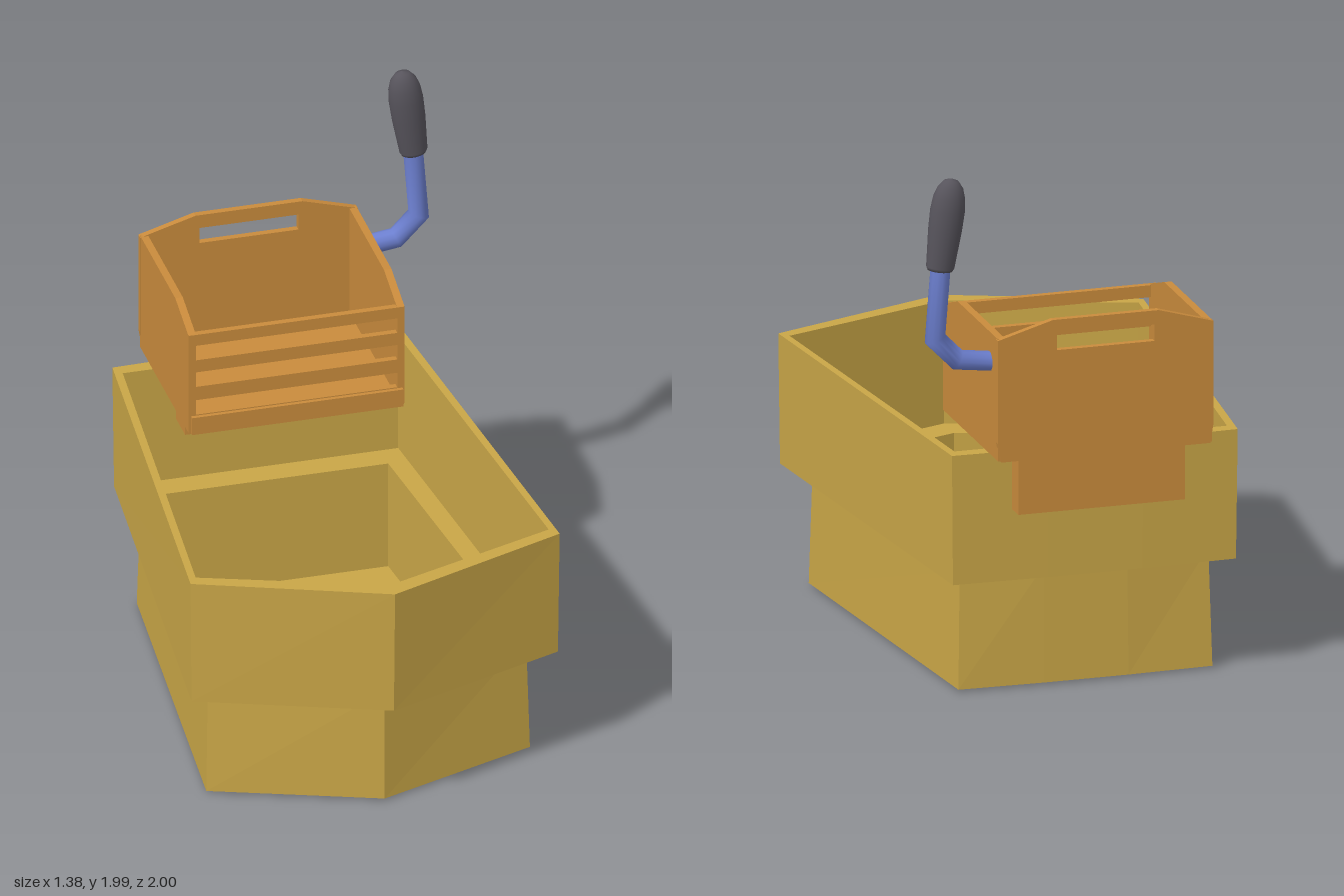
import * as THREE from 'three';

const paint = (color, extra = {}) => new THREE.MeshStandardMaterial({ color, ...extra });

// Five-sided boat outline with a pointed bow and a slightly bowed stern, as one level ring
function outline(y, bowZ, sideX, sideZ, sternX, sternZ, bulge = 0.01) {
  const half = [[sideX, sideZ], [sternX, sternZ], [sternX / 3, sternZ - bulge]];
  const mirrored = half.map(([x, z]) => [-x, z]).reverse();
  return [[0, bowZ], ...half, ...mirrored].map(([x, z]) => new THREE.Vector3(x, y, z));
}
const centre = (y) => Array.from({ length: 7 }, () => new THREE.Vector3(0, y, 0));

// Skin between successive rings of equal point count
function loft(rings, smooth = false) {
  const n = rings[0].length;
  const positions = rings.flat().flatMap((p) => [p.x, p.y, p.z]);
  const index = [];
  for (let r = 0; r < rings.length - 1; r++) {
    for (let i = 0; i < n; i++) {
      const a = r * n + i, b = r * n + (i + 1) % n;
      index.push(a, b, b + n, a, b + n, a + n);
    }
  }
  let geo = new THREE.BufferGeometry();
  geo.setAttribute('position', new THREE.Float32BufferAttribute(positions, 3));
  geo.setIndex(index);
  if (!smooth) geo = geo.toNonIndexed();
  geo.computeVertexNormals();
  return geo;
}

// Flat panel with rectangular holes [x0, y0, x1, y1]
function panel(points, thickness, holes = []) {
  const shape = new THREE.Shape(points.map(([x, y]) => new THREE.Vector2(x, y)));
  for (const [x0, y0, x1, y1] of holes) {
    shape.holes.push(new THREE.Path([[x0, y0], [x0, y1], [x1, y1], [x1, y0]]
      .map(([x, y]) => new THREE.Vector2(x, y))));
  }
  return new THREE.ExtrudeGeometry(shape, { depth: thickness, bevelEnabled: false });
}

function add(parent, name, geometry, material, x = 0, y = 0, z = 0) {
  const mesh = new THREE.Mesh(geometry, material);
  mesh.name = name;
  mesh.position.set(x, y, z);
  parent.add(mesh);
  return mesh;
}

export function createModel() {
  const model = new THREE.Group();
  model.name = 'boatWithCrankCrate';
  const hullPaint = paint(0xc9a647);
  const cratePaint = paint(0xc98b3c);
  const rodPaint = paint(0x6c7fcf);
  const gripPaint = paint(0x57545c);

  // Lower hull: hollow with a thin floor
  add(model, 'lowerHull', loft([
    centre(0),
    outline(0.008, 0.86, 0.605, 0.635, 0.48, -0.757),
    outline(0.45, 0.855, 0.595, 0.62, 0.47, -0.74, 0.022),
    outline(0.45, 0.81, 0.58, 0.60, 0.45, -0.72, 0),
    outline(0.04, 0.81, 0.58, 0.60, 0.45, -0.72, 0),
    centre(0.04),
  ]), hullPaint);

  // Upper hull: walls around an inner ledge
  const ledgeHole = (y) => outline(y, 0.81, 0.58, 0.60, 0.45, -0.72, 0);
  add(model, 'upperHull', loft([
    ledgeHole(0.44),
    outline(0.44, 0.985, 0.685, 0.725, 0.535, -0.865),
    outline(0.93, 1.0, 0.69, 0.73, 0.54, -0.87),
    outline(0.93, 0.93, 0.66, 0.69, 0.515, -0.82, 0),
    outline(0.465, 0.93, 0.66, 0.69, 0.515, -0.82, 0),
    ledgeHole(0.465),
    ledgeHole(0.44),
  ]), hullPaint);

  // Crate with slatted front and a handle slot in the back
  const crate = new THREE.Group();
  crate.name = 'crate';
  model.add(crate);
  add(crate, 'crateBack', panel(
    [[-0.395, 0.93], [0.395, 0.93], [0.407, 1.0], [0.407, 1.39], [0.2, 1.45],
      [-0.2, 1.45], [-0.407, 1.39], [-0.407, 1.0]],
    0.025, [[-0.185, 1.335, 0.185, 1.397]]), cratePaint, 0, 0, -1);
  const sideProfile = [[-0.99, 0.932], [-0.335, 0.932], [-0.335, 1.335], [-0.51, 1.393], [-0.99, 1.393]];
  for (const x of [0.404, -0.376]) {
    add(crate, 'crateSide', panel(sideProfile, 0.028), cratePaint, x).rotation.y = -Math.PI / 2;
  }
  const gaps = [1.005, 1.12, 1.23].map((y) => [-0.376, y, 0.376, y + 0.06]);
  add(crate, 'crateFront', panel(
    [[-0.402, 0.932], [0.402, 0.932], [0.402, 1.335], [-0.402, 1.335]], 0.025, gaps),
  cratePaint, 0, 0, -0.355);
  add(crate, 'crateFrontSill', new THREE.BoxGeometry(0.79, 0.07, 0.02), cratePaint, 0, 0.966, -0.325);
  add(crate, 'crateFloor', new THREE.BoxGeometry(0.77, 0.03, 0.64), cratePaint, 0, 0.946, -0.665);

  // Bracket straddling the stern wall below the crate
  add(model, 'sternBracket', new THREE.BoxGeometry(0.63, 0.225, 0.25), cratePaint, 0, 0.8225, -0.825);

  // Crank rod: round section with mitred bends
  const path = [[0.385, 1.28], [0.525, 1.298], [0.61, 1.385], [0.587, 1.68]]
    .map(([x, y]) => new THREE.Vector2(x, y));
  const rings = path.map((p, i) => {
    const before = p.clone().sub(path[Math.max(i - 1, 0)]).normalize();
    const after = path[Math.min(i + 1, path.length - 1)].clone().sub(p).normalize();
    const along = before.clone().add(after).normalize();
    const stretch = 1 / along.dot(i ? before : after);
    return Array.from({ length: 12 }, (_, k) => {
      const a = (k / 12) * Math.PI * 2, s = Math.cos(a) * 0.037 * stretch;
      return new THREE.Vector3(p.x - along.y * s, p.y + along.x * s, -0.888 + Math.sin(a) * 0.037);
    });
  });
  add(model, 'crankRod', loft(rings, true), rodPaint);

  // Grip: rounded, slightly flattened and leaning inward
  const gripProfile = [[0, 0], [0.046, 0], [0.052, 0.012], [0.062, 0.15], [0.064, 0.225],
    [0.059, 0.275], [0.047, 0.312], [0.027, 0.337], [0, 0.346]].map(([r, y]) => new THREE.Vector2(r, y));
  const grip = add(model, 'crankGrip', new THREE.LatheGeometry(gripProfile, 20), gripPaint, 0.592, 1.642, -0.888);
  grip.scale.z = 0.84;
  grip.rotation.z = 0.13;
  return model;
}
